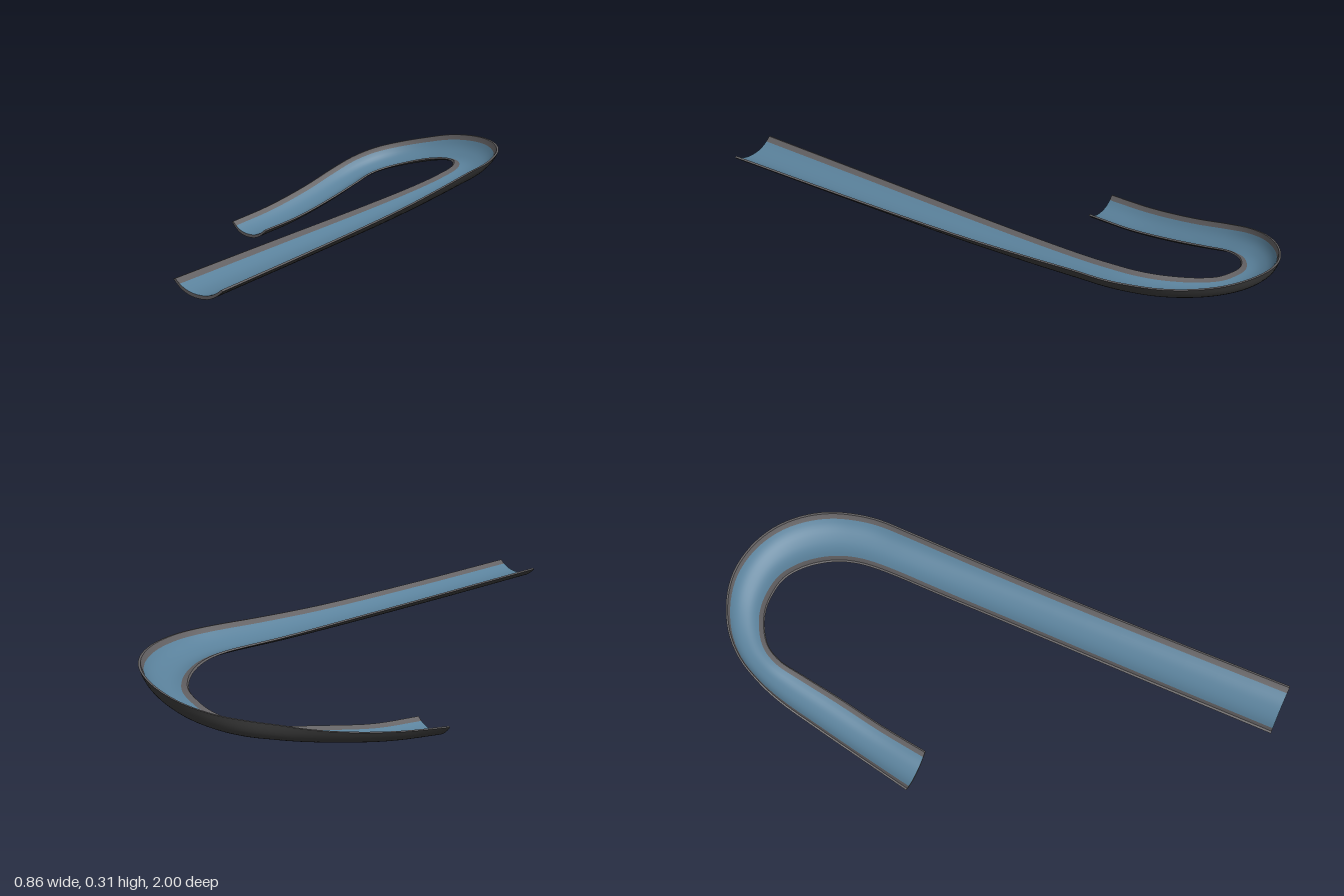
import * as THREE from 'three';

// Stations along the run: outer rim x, y, z then inner rim x, y, z
const STATIONS = [
  [0.43, 0.247, 1, 0.235, 0.249, 1],
  [0.42, 0.251, 0.5, 0.236, 0.246, 0.5],
  [0.411, 0.262, 0, 0.239, 0.243, 0],
  [0.406, 0.28, -0.3, 0.239, 0.243, -0.3],
  [0.403, 0.294, -0.48, 0.239, 0.247, -0.46],
  [0.4, 0.3, -0.6, 0.235, 0.25, -0.54],
  [0.385, 0.304, -0.68, 0.228, 0.25, -0.6],
  [0.35, 0.306, -0.78, 0.21, 0.248, -0.665],
  [0.29, 0.306, -0.87, 0.177, 0.243, -0.73],
  [0.21, 0.303, -0.94, 0.13, 0.234, -0.79],
  [0.11, 0.295, -0.985, 0.07, 0.222, -0.835],
  [0, 0.28, -1, 0, 0.207, -0.85],
  [-0.1, 0.258, -0.98, -0.06, 0.191, -0.848],
  [-0.2, 0.235, -0.925, -0.12, 0.173, -0.825],
  [-0.27, 0.215, -0.85, -0.17, 0.157, -0.785],
  [-0.315, 0.19, -0.76, -0.198, 0.143, -0.725],
  [-0.345, 0.157, -0.66, -0.207, 0.123, -0.64],
  [-0.37, 0.112, -0.5, -0.222, 0.088, -0.48],
  [-0.4, 0.071, -0.3, -0.245, 0.054, -0.3],
  [-0.43, 0.047, -0.115, -0.265, 0.039, -0.115],
];
const STEPS = 76;

// Surface through a grid of points, rows x columns
function gridGeometry(rows) {
  const n = rows[0].length, pos = [], index = [];
  rows.forEach((row) => row.forEach((p) => pos.push(p.x, p.y, p.z)));
  for (let i = 0; i < rows.length - 1; i++) {
    for (let j = 0; j < n - 1; j++) {
      const a = i * n + j, b = a + 1, c = a + n, d = c + 1;
      index.push(a, b, c, b, d, c);
    }
  }
  const g = new THREE.BufferGeometry();
  g.setAttribute('position', new THREE.Float32BufferAttribute(pos, 3));
  g.setIndex(index);
  g.computeVertexNormals();
  return g;
}

// Trough profiles: u is a share of the width, v is a height above the rim line
const outerV = (u) => -0.043 * (1 - Math.abs(u / 0.5) ** 2.4);
const innerV = (u) => 0.003 - 0.034 * (1 - Math.abs(u / 0.46) ** 2.4);
function profile(fn, from, to, n) {
  return Array.from({ length: n + 1 }, (_, i) => {
    const u = from + ((to - from) * i) / n;
    return [u, fn(u)];
  });
}

export function createModel() {
  const model = new THREE.Group();
  model.name = 'bankedChute';
  const shellGrey = new THREE.MeshStandardMaterial({ color: 0x3c3c3c });
  shellGrey.name = 'darkGrey';
  const rimGrey = new THREE.MeshStandardMaterial({ color: 0x626062 });
  rimGrey.name = 'rimGrey';
  const blue = new THREE.MeshStandardMaterial({ color: 0x5a819b });
  blue.name = 'waterBlue';

  const curve = (k) => new THREE.CatmullRomCurve3(
    STATIONS.map((s) => new THREE.Vector3(s[k], s[k + 1], s[k + 2])));
  const outerRim = curve(0), innerRim = curve(3);

  // Banked frame at each step
  const frames = [];
  for (let i = 0; i <= STEPS; i++) {
    const t = i / STEPS;
    const o = outerRim.getPoint(t), n = innerRim.getPoint(t);
    const across = o.clone().sub(n);
    const along = outerRim.getTangent(t).add(innerRim.getTangent(t));
    if (i === 0) along.set(0, 0, -1);
    if (i === STEPS) along.set(0, 0, 1);
    const up = across.clone().cross(along).normalize();
    frames.push({ mid: o.add(n).multiplyScalar(0.5), across, up });
  }
  const place = (f, section) => section.map(([u, v]) =>
    f.mid.clone().addScaledVector(f.across, u).addScaledVector(f.up, v));

  const add = (name, rows, material) => {
    const mesh = new THREE.Mesh(gridGeometry(rows), material);
    mesh.name = name;
    model.add(mesh);
  };
  const sweep = (name, section, material) =>
    add(name, frames.map((f) => place(f, section)), material);

  // Underside shell and running bed
  const outer = profile(outerV, -0.5, 0.5, 16);
  sweep('shell', outer.slice().reverse(), shellGrey);
  sweep('bed', profile(innerV, -0.37, 0.37, 12), blue);

  // Rim lips and their inner bands
  sweep('innerRimLip', [[-0.5, 0], [-0.46, 0.003]], rimGrey);
  sweep('innerRimBand', profile(innerV, -0.46, -0.37, 3), rimGrey);
  sweep('outerRimBand', profile(innerV, 0.37, 0.46, 3), rimGrey);
  sweep('outerRimLip', [[0.46, 0.003], [0.5, 0]], rimGrey);

  // End caps close the wall thickness
  const inner = profile(innerV, -0.46, 0.46, 16);
  const first = frames[0], last = frames[STEPS];
  add('startCap', [place(first, outer), place(first, inner)], rimGrey);
  add('finishCap', [place(last, inner), place(last, outer)], rimGrey);
  return model;
}
